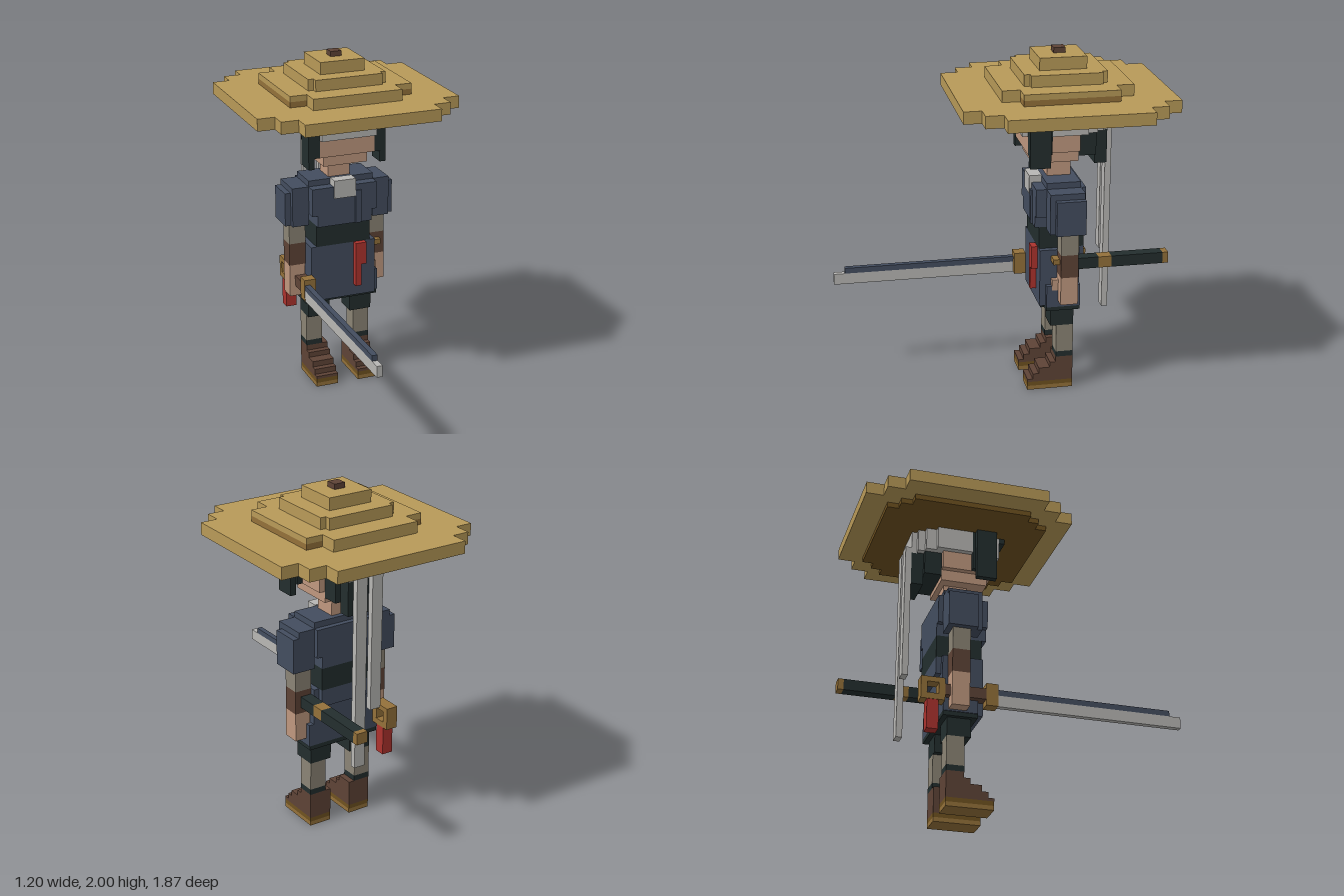
import * as THREE from 'three';

const colours = {
  straw: 0xb89a58, bronze: 0x94713a, darkStraw: 0x6f5220, brown: 0x5e4336, navy: 0x434d5f,
  darkCloth: 0x232e2e, skin: 0xbf987f, wrap: 0x8b8475, white: 0xb8b7b4, red: 0xad332e,
};

export function createModel() {
  const model = new THREE.Group();
  const mats = {};
  for (const [name, color] of Object.entries(colours)) {
    mats[name] = new THREE.MeshStandardMaterial({ color });
    mats[name].name = name;
  }

  // Box given by its limits on each axis
  function box(name, mat, x0, x1, y0, y1, z0, z1) {
    const mesh = new THREE.Mesh(new THREE.BoxGeometry(x1 - x0, y1 - y0, z1 - z0), mats[mat]);
    mesh.position.set((x0 + x1) / 2, (y0 + y1) / 2, (z0 + z1) / 2);
    mesh.name = name;
    model.add(mesh);
  }
  const mid = (name, mat, x, ...rest) => box(name, mat, -x, x, ...rest);
  function pair(name, mat, x0, x1, ...rest) {
    box(name + 'Left', mat, x0, x1, ...rest);
    box(name + 'Right', mat, -x1, -x0, ...rest);
  }

  // Square plate with stepped corners, as one extruded outline
  function plate(name, mat, y0, y1, steps) {
    const quarter = [];
    steps.forEach(([x, z], i) => {
      if (i) quarter.push([x, steps[i - 1][1]]);
      quarter.push([x, z]);
    });
    // steps run from the side (wide x) towards the front (long z)
    const q = quarter, r = [...quarter].reverse();
    const outline = [
      ...q, ...r.map(([x, z]) => [-x, z]), ...q.map(([x, z]) => [-x, -z]), ...r.map(([x, z]) => [x, -z]),
    ].map(([x, z]) => new THREE.Vector2(x, z));
    const geo = new THREE.ExtrudeGeometry(new THREE.Shape(outline), { depth: y1 - y0, bevelEnabled: false });
    geo.rotateX(-Math.PI / 2);
    const mesh = new THREE.Mesh(geo, mats[mat]);
    mesh.position.set(0, y0, -0.335);
    mesh.name = name;
    model.add(mesh);
  }

  // Straw hat
  plate('hatUnderside', 'darkStraw', 1.67, 1.7, [[0.465, 0.335], [0.4, 0.4], [0.335, 0.465]]);
  plate('hatBrim', 'straw', 1.7, 1.77, [[0.6, 0.4], [0.5, 0.5], [0.4, 0.6]]);
  mid('hatBand', 'bronze', 0.365, 1.77, 1.802, -0.602, -0.068);
  mid('hatTierFront', 'straw', 0.265, 1.77, 1.802, -0.702, 0.032);
  plate('hatTierLow', 'straw', 1.802, 1.835, [[0.365, 0.267], [0.265, 0.367]]);
  plate('hatTierMiddle', 'straw', 1.835, 1.9, [[0.233, 0.2], [0.2, 0.233]]);
  plate('hatTierTop', 'straw', 1.9, 1.97, [[0.133, 0.133]]);
  plate('hatKnob', 'brown', 1.97, 2, [[0.033, 0.033]]);

  // Head and hair
  mid('neck', 'skin', 0.067, 1.25, 1.37, -0.4, -0.265);
  mid('chin', 'skin', 0.1, 1.37, 1.402, -0.43, -0.2);
  mid('jaw', 'skin', 0.133, 1.37, 1.435, -0.43, -0.165);
  mid('face', 'skin', 0.167, 1.435, 1.54, -0.43, -0.133);
  mid('headband', 'white', 0.167, 1.54, 1.67, -0.53, -0.1);
  mid('headbandSides', 'white', 0.2, 1.54, 1.67, -0.47, -0.265);
  mid('headbandBack', 'white', 0.133, 1.54, 1.67, -0.57, -0.53);
  mid('headbandKnot', 'white', 0.1, 1.535, 1.67, -0.6, -0.57);
  pair('fringe', 'darkCloth', 0.07, 0.167, 1.64, 1.67, -0.1, -0.067);
  pair('sideHair', 'darkCloth', 0.167, 0.2, 1.435, 1.67, -0.265, -0.133);
  pair('outerHair', 'darkCloth', 0.2, 0.235, 1.37, 1.67, -0.25, -0.133);
  mid('backHair', 'darkCloth', 0.133, 1.4, 1.54, -0.53, -0.43);
  mid('hairTail', 'darkCloth', 0.1, 1.34, 1.54, -0.6, -0.53);
  box('longRibbon', 'white', 0, 0.067, 0.44, 1.57, -0.635, -0.6);
  box('shortRibbon', 'white', -0.1, -0.033, 0.77, 1.57, -0.635, -0.6);

  // Torso
  mid('shoulderYoke', 'navy', 0.2, 1.235, 1.27, -0.43, -0.235);
  mid('chest', 'navy', 0.2, 1.07, 1.235, -0.46, -0.175);
  mid('ribs', 'navy', 0.167, 1, 1.07, -0.46, -0.175);
  box('lapel', 'navy', 0.065, 0.1, 1, 1.2, -0.175, -0.165);
  box('collar', 'white', -0.067, 0.065, 1.167, 1.275, -0.235, -0.163);
  mid('belt', 'darkCloth', 0.167, 0.87, 1, -0.46, -0.2);
  mid('skirt', 'navy', 0.2, 0.53, 0.87, -0.43, -0.2);
  mid('skirtBack', 'navy', 0.167, 0.77, 0.87, -0.46, -0.43);
  mid('skirtFlare', 'navy', 0.23, 0.53, 0.66, -0.43, -0.235);
  mid('hem', 'darkCloth', 0.225, 0.505, 0.53, -0.43, -0.235);
  box('sashKnot', 'red', 0.065, 0.133, 0.735, 0.87, -0.2, -0.165);
  box('sashEnd', 'red', 0.065, 0.1, 0.6, 0.735, -0.2, -0.165);

  // Arms
  pair('sleeve', 'navy', 0.2, 0.3, 1, 1.235, -0.433, -0.235);
  pair('sleeveOuter', 'navy', 0.3, 0.335, 1, 1.2, -0.433, -0.265);
  pair('forearm', 'wrap', 0.2, 0.3, 0.87, 1, -0.4, -0.3);
  pair('cuff', 'brown', 0.2, 0.3, 0.735, 0.87, -0.4, -0.3);
  box('handLeft', 'skin', 0.205, 0.3, 0.57, 0.735, -0.4, -0.3);
  box('thumbLeft', 'skin', 0.205, 0.235, 0.635, 0.7, -0.3, -0.265);
  box('handRight', 'skin', -0.3, -0.205, 0.54, 0.735, -0.4, -0.3);

  // Legs and stepped boots
  pair('shorts', 'darkCloth', 0.065, 0.2, 0.4, 0.505, -0.4, -0.265);
  pair('shin', 'wrap', 0.1, 0.2, 0.233, 0.4, -0.4, -0.3);
  pair('sock', 'darkCloth', 0.1, 0.2, 0.2, 0.233, -0.4, -0.3);
  pair('sole', 'bronze', 0.065, 0.2, 0, 0.025, -0.4, -0.133);
  pair('welt', 'darkStraw', 0.065, 0.2, 0.025, 0.05, -0.4, -0.133);
  [[0.05, 0.067, -0.133], [0.067, 0.1, -0.165], [0.1, 0.135, -0.2], [0.135, 0.167, -0.265], [0.167, 0.2, -0.3]]
    .forEach(([y0, y1, z], i) => pair('bootStep' + i, 'brown', 0.065, 0.2, y0, y1, -0.4, z));

  // Drawn sword in the right hand
  box('bladeEdge', 'white', -0.267, -0.235, 0.57, 0.635, -0.133, 0.935);
  box('bladeSpine', 'navy', -0.267, -0.235, 0.635, 0.668, -0.133, 0.87);
  box('guard', 'bronze', -0.27, -0.2, 0.57, 0.7, -0.2, -0.133);
  box('grip', 'brown', -0.267, -0.202, 0.605, 0.668, -0.435, -0.2);

  // Ring pommel with tassel
  for (const [y0, y1, z0, z1] of [[0.67, 0.7, -0.565, -0.43], [0.57, 0.605, -0.565, -0.43],
    [0.605, 0.67, -0.465, -0.43], [0.605, 0.67, -0.565, -0.53]]) {
    box('pommelRing', 'bronze', -0.27, -0.2, y0, y1, z0, z1);
  }
  box('tassel', 'red', -0.267, -0.202, 0.4, 0.57, -0.53, -0.465);

  // Scabbard at the left hip
  box('scabbardMouth', 'bronze', 0.2, 0.265, 0.803, 0.835, -0.3, -0.265);
  box('scabbardFront', 'darkCloth', 0.2, 0.267, 0.77, 0.835, -0.525, -0.39);
  box('scabbardFitting', 'bronze', 0.2, 0.267, 0.77, 0.835, -0.6, -0.525);
  box('scabbardBody', 'darkCloth', 0.2, 0.267, 0.77, 0.835, -0.9, -0.6);
  box('scabbardTip', 'bronze', 0.2, 0.267, 0.77, 0.835, -0.933, -0.9);

  return model;
}
